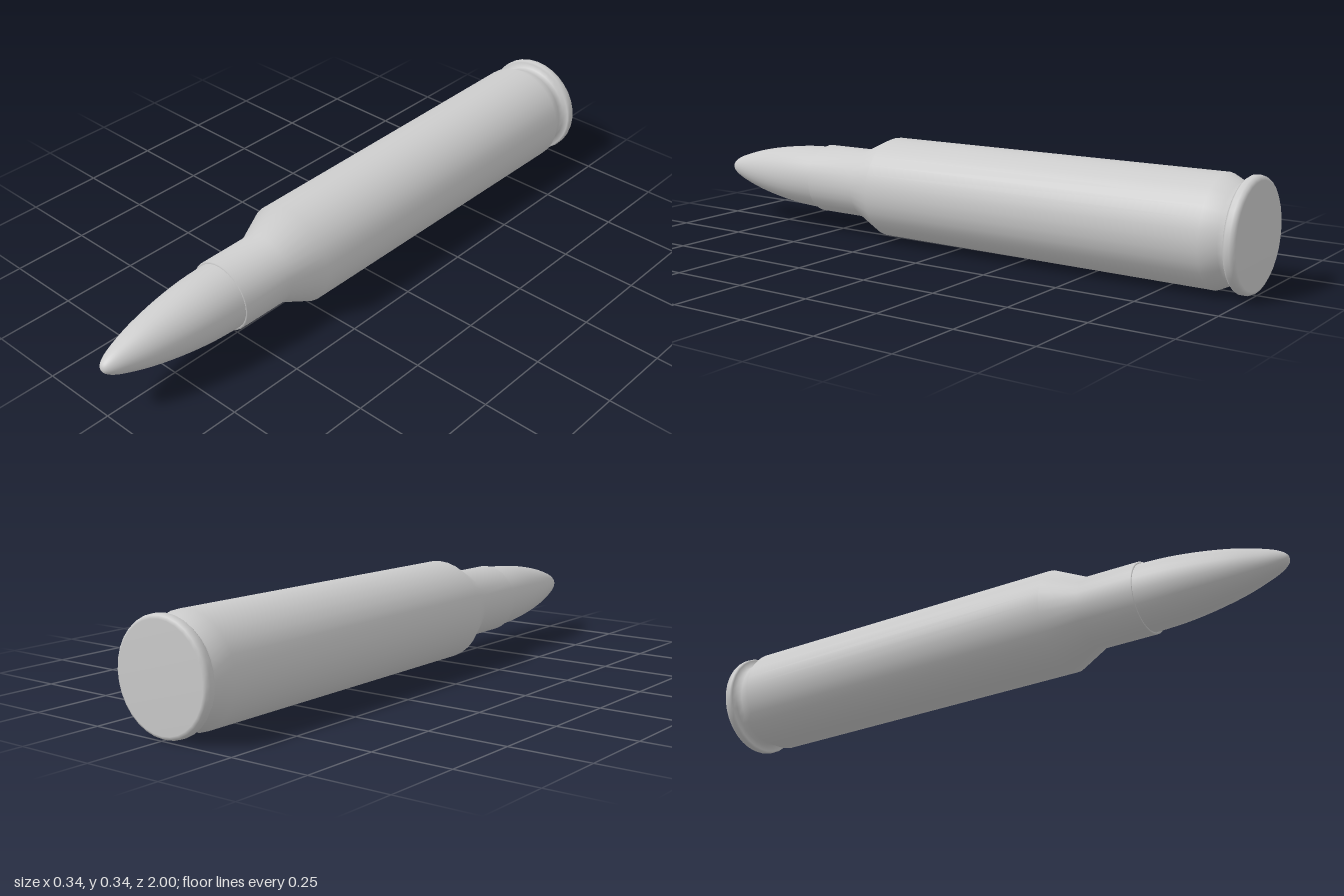
import * as THREE from 'three';

const SEGMENTS = 32;
const AXIS_HEIGHT = 0.169;

// Revolve a list of [radius, z] around the long axis, running from back to front.
function turned(name, profile, material) {
  const points = profile.map(([r, z]) => new THREE.Vector2(r, z));
  const geometry = new THREE.LatheGeometry(points, SEGMENTS);
  geometry.rotateX(Math.PI / 2);
  const mesh = new THREE.Mesh(geometry, material);
  mesh.name = name;
  mesh.position.y = AXIS_HEIGHT;
  return mesh;
}

export function createModel() {
  const model = new THREE.Group();
  model.name = 'cartridge';
  const grey = new THREE.MeshStandardMaterial({ color: 0xcccccc });

  // Case: base and rim, extractor groove, tapered body, shoulder, neck, mouth
  model.add(turned('case', [
    [0, -1], [0.156, -1], [0.165, -0.995], [0.169, -0.986],
    [0.169, -0.972], [0.164, -0.965], [0.145, -0.965],
    [0.145, -0.94], [0.168, -0.892],
    [0.162, 0.27], [0.113, 0.375],
    [0.112, 0.556], [0.105, 0.556],
  ], grey));

  // Bullet: seated in the neck, curving to a rounded tip
  const ogive = new THREE.SplineCurve([
    [0.106, 0.54], [0.101, 0.65], [0.089, 0.75], [0.07, 0.85],
    [0.047, 0.93], [0.03, 0.973], [0.014, 0.995], [0, 1],
  ].map(([r, z]) => new THREE.Vector2(r, z)));
  const bulletProfile = ogive.getPoints(28).map((p) => [Math.max(p.x, 0), Math.min(p.y, 1)]);
  model.add(turned('bullet', [[0.106, 0.42], ...bulletProfile], grey));

  return model;
}
